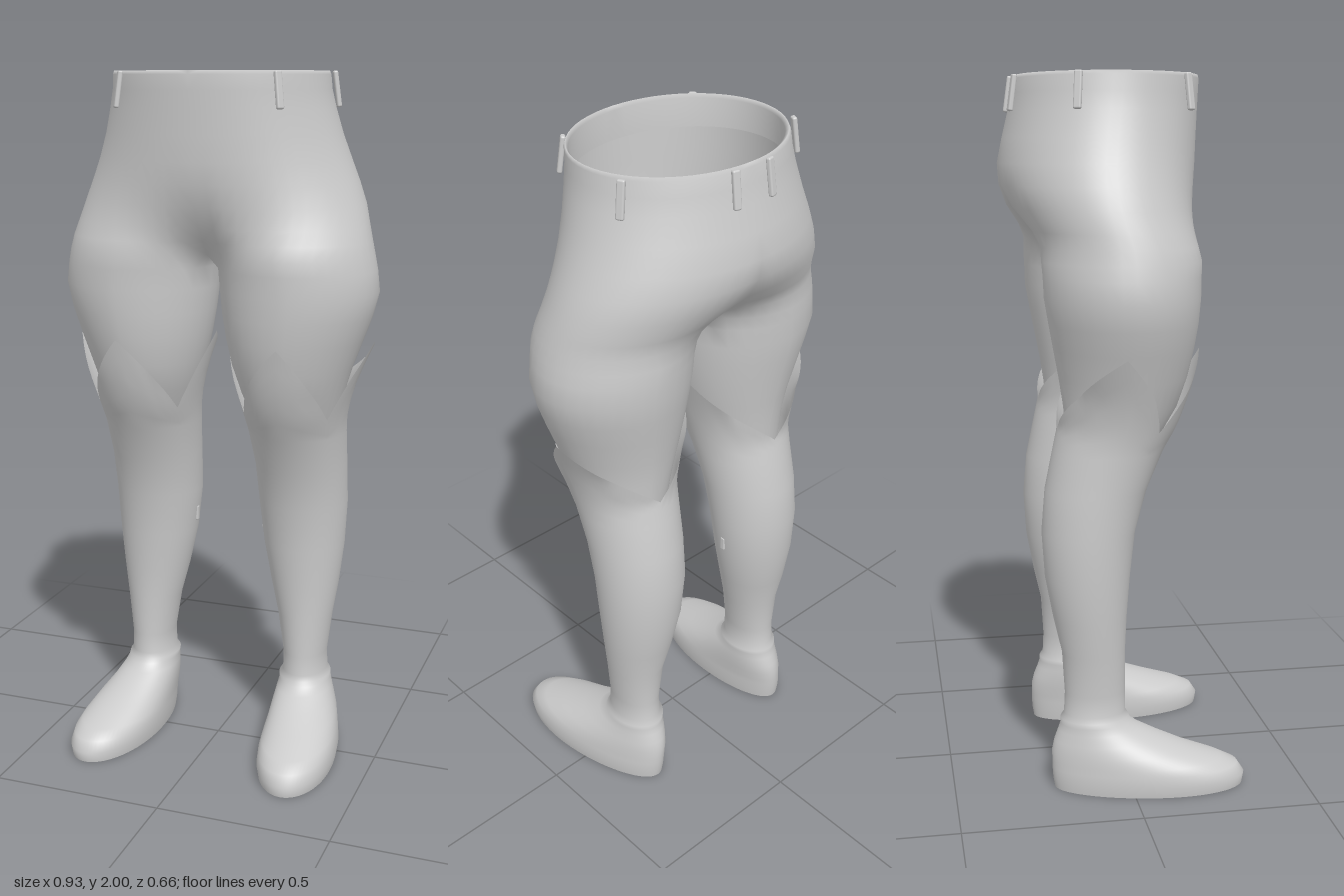
import * as THREE from 'three';
import { RoundedBoxGeometry } from 'three/addons/geometries/RoundedBoxGeometry.js';

const material = new THREE.MeshStandardMaterial({ color: 0xcccccc, side: THREE.DoubleSide });
const rad = THREE.MathUtils.degToRad;
const lerp = THREE.MathUtils.lerp;

// Skin closed rings, listed bottom to top, angle running outer -> front -> inner.
function loft(rows, skip = () => false) {
  const n = rows[0].length, index = [];
  for (let i = 0; i < rows.length - 1; i++) {
    for (let j = 0; j < n; j++) {
      if (skip(i, j)) continue;
      const k = (j + 1) % n;
      const a = i * n + j, b = i * n + k, c = a + n, d = b + n;
      index.push(a, c, b, b, c, d);
    }
  }
  const geo = new THREE.BufferGeometry();
  geo.setAttribute('position', new THREE.Float32BufferAttribute(rows.flat(2), 3));
  geo.setIndex(index);
  geo.computeVertexNormals();
  // Points on the centre line join their mirrored twin smoothly
  const p = geo.attributes.position, m = geo.attributes.normal;
  for (let i = 0; i < p.count; i++) {
    if (Math.abs(p.getX(i)) > 1e-6) continue;
    const l = Math.hypot(m.getY(i), m.getZ(i)) || 1;
    m.setXYZ(i, 0, m.getY(i) / l, m.getZ(i) / l);
  }
  return geo;
}

function mesh(name, geo) {
  const result = new THREE.Mesh(geo, material);
  result.name = name;
  return result;
}

// ---- Trousers: half a pelvis that closes into a thigh ----
// [y, ring blend, inner x, outer x, front z, back z]
const trouserRows = [
  [1.00, 1, 0.11, 0.345, 0.08, -0.17],
  [1.10, 1, 0.075, 0.37, 0.14, -0.178],
  [1.18, 1, 0.05, 0.395, 0.168, -0.19],
  [1.26, 1, 0.032, 0.425, 0.185, -0.205],
  [1.33, 1, 0.02, 0.45, 0.195, -0.218],
  [1.40, 1, 0.012, 0.467, 0.2, -0.23],
  [1.46, 1, 0.007, 0.46, 0.202, -0.232],
  [1.50, 1, 0, 0.452, 0.205, -0.235],
  [1.54, 0.72, 0, 0.443, 0.208, -0.245],
  [1.58, 0.42, 0, 0.432, 0.21, -0.27],
  [1.64, 0.16, 0, 0.415, 0.214, -0.31],
  [1.70, 0.04, 0, 0.392, 0.219, -0.328],
  [1.76, 0, 0, 0.368, 0.223, -0.329],
  [1.83, 0, 0, 0.343, 0.227, -0.315],
  [1.90, 0, 0, 0.324, 0.231, -0.298],
  [1.95, 0, 0, 0.313, 0.234, -0.289],
  [1.99, 0, 0, 0.31, 0.236, -0.282],
  [2.00, 0, 0, 0.306, 0.233, -0.276],
  [1.99, 0, 0, 0.298, 0.225, -0.264],
  [1.91, 0, 0, 0.302, 0.223, -0.274],
];
const crotchRow = 7, arcEnd = 30, trouserSteps = 36;

function trouserPoint([y, blend, xi, xo, zf, zb], j, open) {
  const a = rad(-150 + j * 10);
  const cz = (zf + zb) / 2, rz = (zf - zb) / 2;
  const s = Math.PI * Math.min(j / arcEnd, 1);
  const c = Math.cos(a), bulge = Math.sign(c) * Math.abs(c) ** (c > 0 ? 1.15 : 1);
  const x = lerp(xo * Math.sin(s), (xi + xo) / 2 + (xo - xi) / 2 * bulge, blend);
  const z = lerp(cz - rz * Math.cos(s), cz + rz * Math.sin(a), blend);
  return [open && (j === 0 || j >= arcEnd) ? 0 : x, y, z];
}

function trouserHalf() {
  const rows = trouserRows.map((row, i) =>
    Array.from({ length: trouserSteps }, (_, j) => trouserPoint(row, j, i >= crotchRow)));
  return mesh('trouserHalf', loft(rows, (i, j) => i >= crotchRow && j >= arcEnd));
}

// ---- Boot: foot, ankle, calf and pointed cuff ----
// [y, inner x, outer x, front z, back z]
const bootRows = [
  [0.00, 0.175, 0.39, 0.325, -0.215],
  [0.03, 0.17, 0.395, 0.33, -0.22],
  [0.06, 0.17, 0.39, 0.31, -0.222],
  [0.08, 0.17, 0.383, 0.265, -0.222],
  [0.11, 0.17, 0.368, 0.175, -0.222],
  [0.14, 0.17, 0.35, 0.10, -0.215],
  [0.17, 0.172, 0.335, 0.035, -0.203],
  [0.19, 0.175, 0.328, 0.006, -0.196],
  [0.205, 0.173, 0.326, 0.0, -0.196],
  [0.22, 0.184, 0.316, -0.01, -0.186],
  [0.28, 0.185, 0.315, -0.01, -0.183],
  [0.40, 0.165, 0.33, -0.01, -0.19],
  [0.50, 0.14, 0.345, -0.005, -0.213],
  [0.62, 0.115, 0.358, 0.005, -0.235],
  [0.75, 0.10, 0.365, 0.02, -0.243],
  [0.87, 0.095, 0.366, 0.053, -0.233],
  [0.98, 0.085, 0.37, 0.10, -0.21],
  [1.05, 0.075, 0.378, 0.14, -0.195],
  [1.15, 0.05, 0.41, 0.175, -0.205],
  [1.26, 0.02, 0.456, 0.20, -0.28],
];
const bootSteps = 72, cuffBase = 16;

function bootPoint(y, a) {
  let i = 0;
  while (i < bootRows.length - 2 && bootRows[i + 1][0] < y) i++;
  const f = (y - bootRows[i][0]) / (bootRows[i + 1][0] - bootRows[i][0]);
  const [, xi, xo, zf, zb] = bootRows[i].map((v, k) => lerp(v, bootRows[i + 1][k], f));
  // The foot widens towards the toes and turns outwards
  const foot = THREE.MathUtils.clamp((0.2 - y) / 0.1, 0, 1);
  const z = (zf - zb) / 2 * Math.sin(a);
  const x = (xo - xi) / 2 * Math.cos(a) * (1 + 0.12 * foot * Math.sin(a));
  return [(xi + xo) / 2 + x + 0.08 * foot * z, y, (zf + zb) / 2 + z];
}

// Cuff edge: points outside, in front and inside, one broad dip behind
function cuffTop(deg) {
  const d = deg > 90 && deg <= 180 ? 180 - deg : deg;
  const tip = deg > 180 ? Math.abs(deg - 270) / 90 : d < 35 ? 1 - d / 35 : (d - 35) / 55;
  return 1.045 + 0.215 * tip;
}

function boot() {
  const group = new THREE.Group();
  group.name = 'boot';
  const ring = (height) => Array.from({ length: bootSteps }, (_, j) => {
    const deg = j * 360 / bootSteps;
    return bootPoint(height(deg), rad(deg));
  });
  const rows = bootRows.slice(0, cuffBase + 1).map(([y]) => ring(() => y));
  const base = bootRows[cuffBase][0];
  for (let u = 1; u <= 5; u++) rows.push(ring((deg) => lerp(base, cuffTop(deg), u / 5)));
  group.add(mesh('bootUpper', loft(rows)));
  const centre = rows[0].map(() => [0.28, 0, 0.05]);
  group.add(mesh('sole', loft([centre, rows[0]])));
  // Small fastener on the inner calf
  const tab = mesh('calfTab', new RoundedBoxGeometry(0.012, 0.045, 0.016, 1, 0.004));
  tab.position.set(0.11, 0.67, -0.11);
  group.add(tab);
  return group;
}

// ---- Belt loops ----
function beltLoop(x, z) {
  const loop = mesh('beltLoop', new RoundedBoxGeometry(0.022, 0.1, 0.014, 2, 0.005));
  loop.position.set(x, 1.95, z);
  loop.rotation.set(-0.14, Math.atan2(x, z), 0, 'YXZ');
  return loop;
}

export function createModel() {
  const model = new THREE.Group();
  model.name = 'trousersAndBoots';
  for (const [name, side] of [['leftSide', 1], ['rightSide', -1]]) {
    const half = new THREE.Group();
    half.name = name;
    half.add(trouserHalf(), boot());
    for (const [x, z] of [[0.06, -0.292], [0.302, -0.145], [0.23, 0.168]]) half.add(beltLoop(x, z));
    half.scale.x = side;
    model.add(half);
  }
  return model;
}
